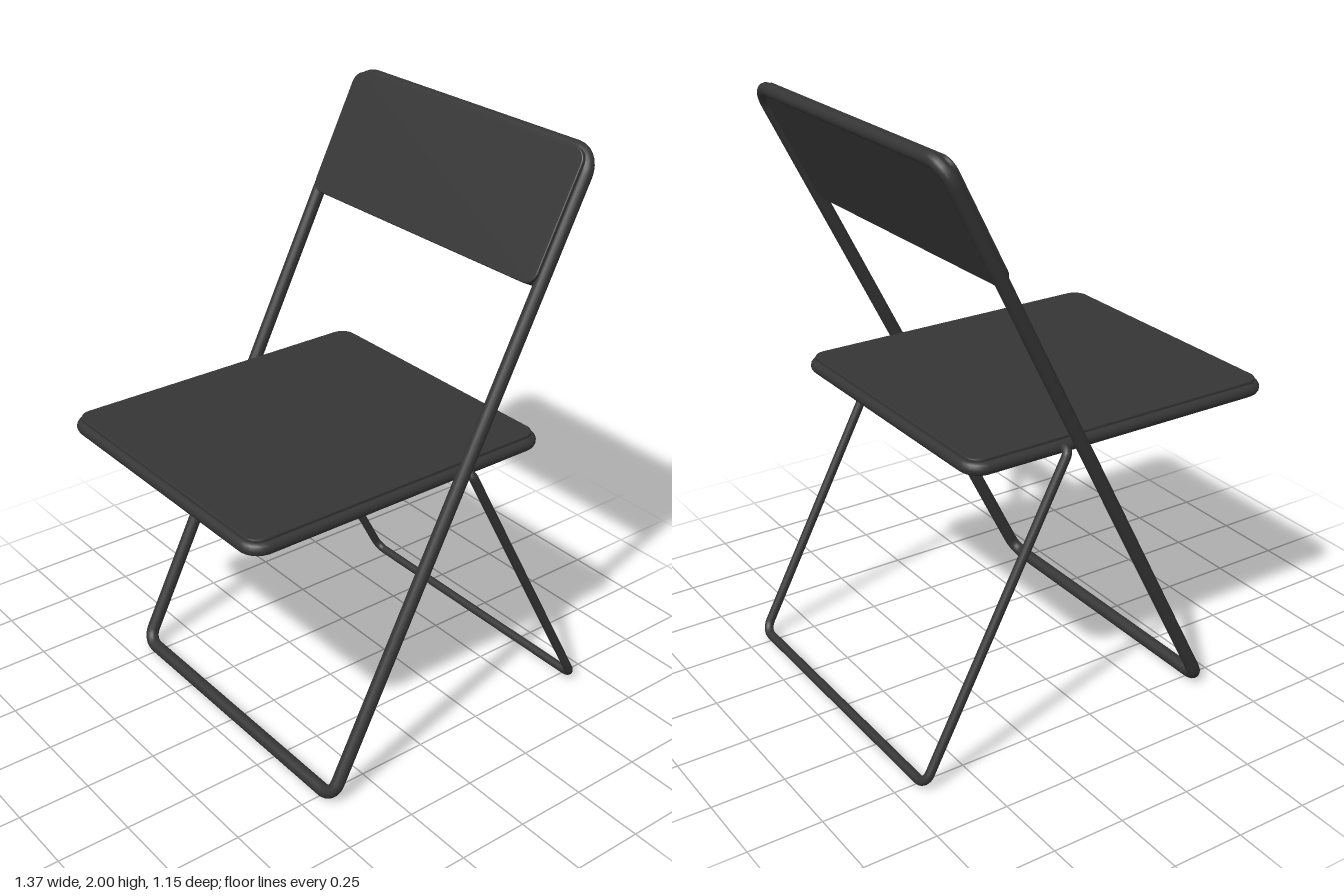
import * as THREE from 'three';

const material = new THREE.MeshStandardMaterial({ color: 0x353535 });
const V = (x, y, z) => new THREE.Vector3(x, y, z);

function part(geometry, name) {
  const mesh = new THREE.Mesh(geometry, material);
  mesh.name = name;
  return mesh;
}

// Bent tube: straight runs between points, with rounded corners
function bentTube(points, tubeRadius, bends, closed, segments) {
  const path = new THREE.CurvePath();
  let last = closed ? points[0].clone().lerp(points[points.length - 1], 0.5) : points[0];
  const start = last;
  const n = points.length;
  for (let i = closed ? 0 : 1; i < (closed ? n : n - 1); i++) {
    const p = points[i];
    const toward = (q) => p.clone().add(q.clone().sub(p).setLength(bends[i % bends.length]));
    const a = toward(points[(i + n - 1) % n]);
    const b = toward(points[(i + 1) % n]);
    path.add(new THREE.LineCurve3(last, a));
    // Cubic handles approximate a circular bend
    path.add(new THREE.CubicBezierCurve3(a, a.clone().lerp(p, 0.55), b.clone().lerp(p, 0.55), b));
    last = b;
  }
  path.add(new THREE.LineCurve3(last, closed ? start : points[n - 1]));
  return new THREE.TubeGeometry(path, segments, tubeRadius, 16, closed);
}

// Rounded slab in the XY plane, spanning z0 to z1
function slab(x0, x1, y0, y1, r, z0, z1) {
  const s = new THREE.Shape();
  s.absarc(x1 - r, y0 + r, r, -Math.PI / 2, 0);
  s.absarc(x1 - r, y1 - r, r, 0, Math.PI / 2);
  s.absarc(x0 + r, y1 - r, r, Math.PI / 2, Math.PI);
  s.absarc(x0 + r, y0 + r, r, Math.PI, Math.PI * 1.5);
  s.closePath();
  const b = 0.004;
  return new THREE.ExtrudeGeometry(s, {
    depth: z1 - z0 - 2 * b, bevelThickness: b, bevelSize: b, bevelOffset: -b,
    bevelSegments: 2, curveSegments: 8,
  }).translate(0, 0, z0 + b);
}

export function createModel() {
  const chair = new THREE.Group();
  chair.name = 'foldingChair';

  // Leaning main frame, drawn flat and then tilted: local y runs up the slope
  const base = V(-0.418, 0.022, 0);
  const slope = V(0.568, 1.978, 0).sub(base);
  const length = slope.length();
  const up = slope.normalize();
  const side = V(0, 0, 1);
  const facing = side.clone().cross(up);
  const back = new THREE.Group();
  back.name = 'mainFrame';
  back.applyMatrix4(new THREE.Matrix4().makeBasis(side, up, facing).setPosition(base));
  const w = 0.552;
  back.add(part(bentTube(
    [V(-w, 0, 0), V(w, 0, 0), V(w, length, 0), V(-w, length, 0)],
    0.0225, [0.05, 0.05, 0.07, 0.07], true, 420), 'frameTube'));
  back.add(part(slab(-w, w, length - 0.435, length, 0.045, -0.008, 0.033), 'backrestPanel'));
  chair.add(back);

  // Seat: tube rim with a panel on top
  const seat = new THREE.Group();
  seat.name = 'seat';
  const x0 = -0.664, x1 = 0.452, d = 0.502, y = 1.0225;
  seat.add(part(bentTube(
    [V(x0, y, -d), V(x0, y, d), V(x1, y, d), V(x1, y, -d)],
    0.0225, [0.05], true, 300), 'seatRim'));
  seat.add(part(slab(x0 - 0.004, x1 + 0.004, -d - 0.004, d + 0.004, 0.05, 1.025, 1.055)
    .rotateX(-Math.PI / 2), 'seatPanel'));
  chair.add(seat);

  // U-shaped support leg, with its ends bent in to the seat rim
  const z = 0.545, tx = 0.137, ty = 1.022, bx = 0.667, by = 0.019;
  chair.add(part(bentTube(
    [V(tx, ty, 0.505), V(tx, ty, z), V(bx, by, z), V(bx, by, -z), V(tx, ty, -z), V(tx, ty, -0.505)],
    0.0155, [0.02, 0.02, 0.04, 0.04, 0.02, 0.02], false, 400), 'supportLeg'));

  return chair;
}
